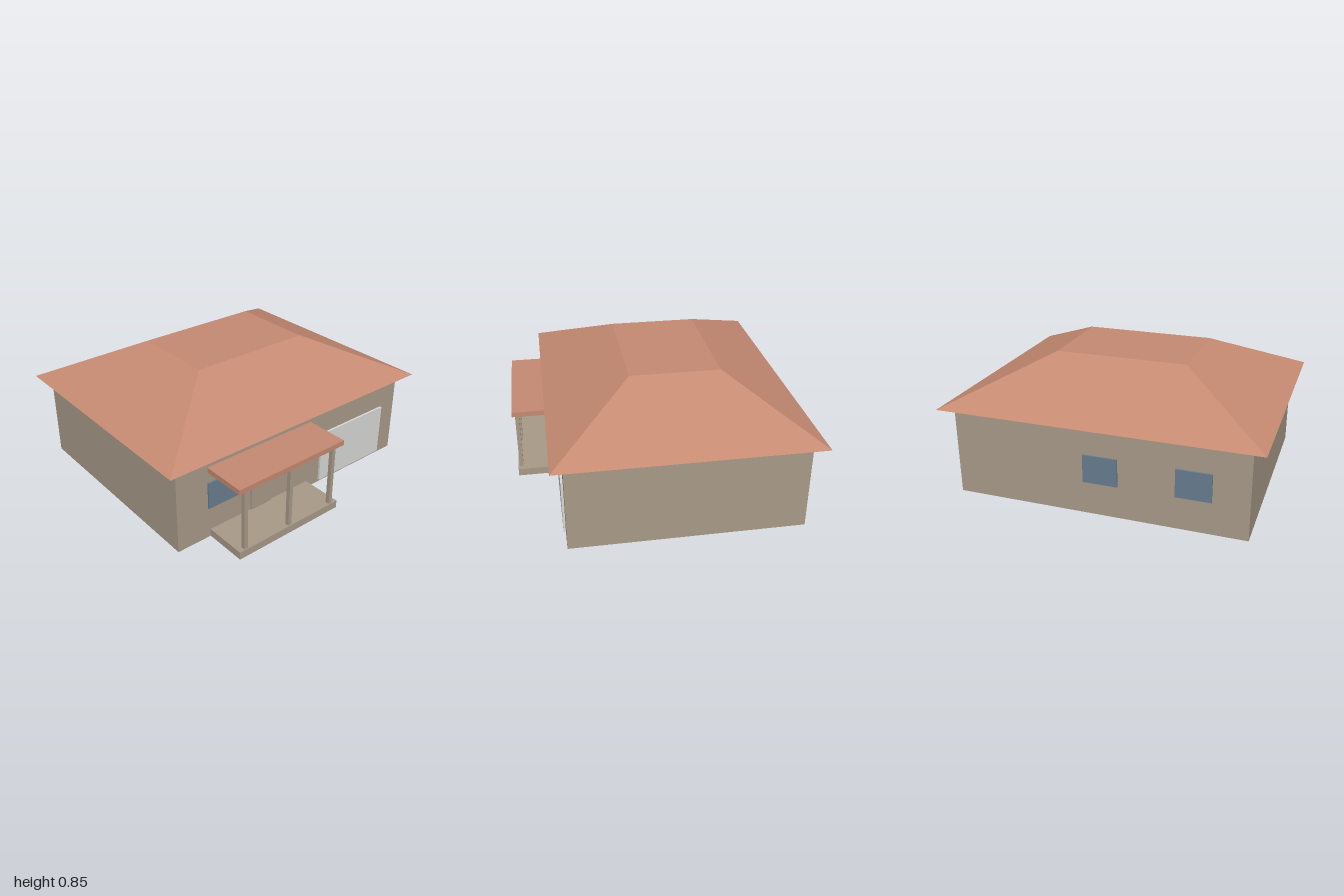
import * as THREE from 'three';

const material = (name, color) => {
  const m = new THREE.MeshStandardMaterial({ color });
  m.name = name;
  return m;
};

export function createModel() {
  const house = new THREE.Group();
  house.name = 'house';
  const plaster = material('taupe plaster', 0xa89a88);
  const tile = material('terracotta', 0xc68a72);
  const glass = material('blue glass', 0x687d90);
  const panel = material('pale grey panel', 0xd8d8d5);

  // Box given by its lower and upper limits on each axis
  const box = (name, mat, [x0, x1], [y0, y1], [z0, z1]) => {
    const mesh = new THREE.Mesh(new THREE.BoxGeometry(x1 - x0, y1 - y0, z1 - z0), mat);
    mesh.position.set((x0 + x1) / 2, (y0 + y1) / 2, (z0 + z1) / 2);
    mesh.name = name;
    house.add(mesh);
  };

  const front = 0.62, back = -0.83;
  box('walls', plaster, [-0.92, 0.92], [0, 0.575], [back, front]);

  // Hipped roof with a flat top: a box whose upper corners are drawn inwards
  const roofGeo = new THREE.BoxGeometry(2, 0.275, 1.6).toNonIndexed();
  const p = roofGeo.attributes.position;
  for (let i = 0; i < p.count; i++) {
    if (p.getY(i) > 0) {
      p.setX(i, Math.sign(p.getX(i)) * 0.42);
      p.setZ(i, Math.sign(p.getZ(i)) * 0.283);
    }
  }
  roofGeo.computeVertexNormals();
  const roof = new THREE.Mesh(roofGeo, tile);
  roof.name = 'hippedRoof';
  roof.position.set(0, 0.7125, -0.105);
  house.add(roof);

  // Matching windows on the front and back walls
  for (const x of [-0.593, -0.027]) {
    const span = [x - 0.108, x + 0.108];
    box('frontWindow', glass, span, [0.21, 0.388], [front - 0.005, front + 0.01]);
    box('backWindow', glass, span, [0.21, 0.388], [back - 0.01, back + 0.005]);
  }

  // Front door and garage door
  box('frontDoor', plaster, [-0.375, -0.215], [0.05, 0.335], [front - 0.005, front + 0.01]);
  box('garageDoor', panel, [0.21, 0.785], [0.02, 0.37], [front - 0.005, front + 0.014]);

  // Porch: slab, posts and flat canopy
  box('porchSlab', plaster, [-0.685, 0.1], [0, 0.05], [front, 0.895]);
  for (const x of [-0.635, -0.293, 0.05]) {
    box('porchPost', plaster, [x - 0.013, x + 0.013], [0.05, 0.46], [0.861, 0.887]);
  }
  box('porchRoof', tile, [-0.7, 0.112], [0.46, 0.493], [front, 0.905]);

  return house;
}
